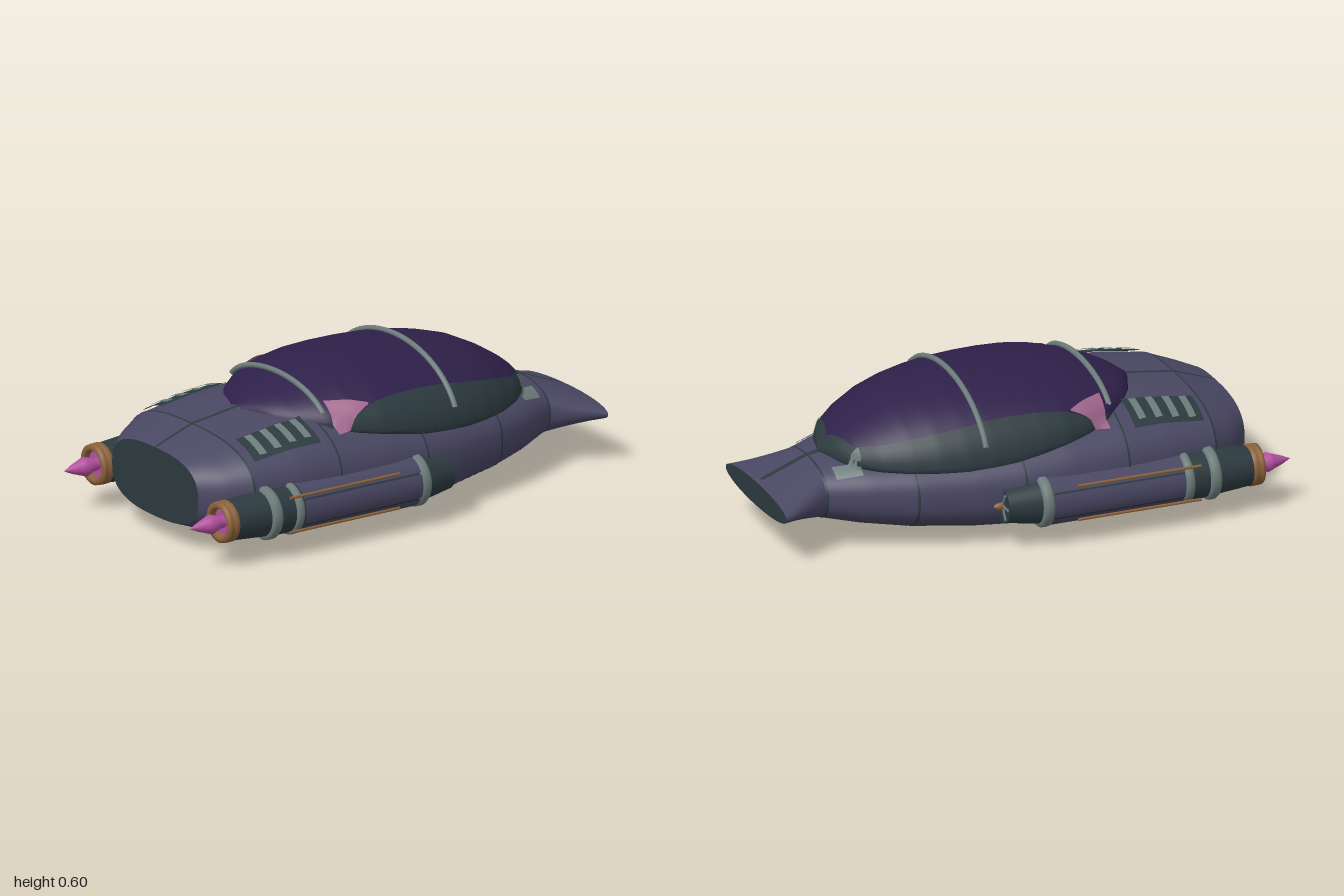
import * as THREE from 'three';

const mat = (name, color) => {
  const m = new THREE.MeshStandardMaterial({ color, side: THREE.DoubleSide });
  m.name = name;
  return m;
};

// Hull stations: z, half width, bottom, top, roundness exponent
const HULL = [
  [0.87, 0.28, 0.088, 0.36, 2.7], [0.8, 0.35, 0.065, 0.385, 2.7], [0.7, 0.41, 0.04, 0.42, 2.7],
  [0.5, 0.44, 0.015, 0.447, 2.7], [0.33, 0.45, 0.003, 0.46, 2.6], [0.1, 0.45, 0.006, 0.44, 2.6],
  [-0.08, 0.435, 0.015, 0.41, 2.6], [-0.25, 0.4, 0.025, 0.39, 2.6], [-0.48, 0.34, 0.047, 0.372, 2.5],
  [-0.65, 0.275, 0.075, 0.353, 2.5], [-0.8, 0.2, 0.107, 0.327, 2.4], [-1, 0.29, 0.155, 0.25, 2.1],
];
// Canopy stations: z, half width, base, top, angle where the glass starts
const CANOPY = [
  [0.5, 0.03, 0.44, 0.455, 0.1], [0.45, 0.16, 0.43, 0.487, 0.1], [0.4, 0.23, 0.42, 0.51, 0.1],
  [0.3, 0.32, 0.41, 0.543, 0.15], [0.2, 0.37, 0.395, 0.57, 0.35], [0.1, 0.4, 0.38, 0.585, 0.55],
  [0, 0.41, 0.362, 0.592, 0.62], [-0.1, 0.411, 0.345, 0.594, 0.65], [-0.2, 0.405, 0.337, 0.59, 0.65],
  [-0.3, 0.39, 0.33, 0.58, 0.62], [-0.4, 0.365, 0.33, 0.56, 0.6], [-0.5, 0.325, 0.33, 0.53, 0.58],
  [-0.6, 0.265, 0.333, 0.48, 0.58], [-0.67, 0.2, 0.338, 0.435, 0.65], [-0.715, 0.13, 0.342, 0.4, 1.57],
  [-0.75, 0.005, 0.345, 0.35, 1.57],
];

function station(table, z) {
  let i = 0;
  while (i < table.length - 2 && z < table[i + 1][0]) i++;
  const [a, b] = [table[i], table[i + 1]];
  const k = THREE.MathUtils.clamp((a[0] - z) / (a[0] - b[0]), 0, 1);
  return a.slice(1).map((v, j) => v + (b[j + 1] - v) * k);
}

function hullPoint(z, t, scale = 1) {
  const [w, lo, hi, n] = station(HULL, z);
  const p = (v) => Math.sign(v) * Math.abs(v) ** (2 / n) * scale;
  return [w * p(Math.cos(t)), (lo + hi) / 2 + ((hi - lo) / 2) * p(Math.sin(t)), z];
}

function canopyPoint(z, t, grow = 0) {
  const [w, base, top] = station(CANOPY, z);
  const s = Math.sin(t);
  return [(w + grow) * Math.cos(t), base + (s > 0 ? top - base + grow : 0.04) * s, z];
}

// Height of the upper skin at a plan position
function skinY(x, z) {
  const [w, lo, hi, n] = station(HULL, z);
  const hull = (lo + hi) / 2 + ((hi - lo) / 2) * Math.max(0, 1 - Math.abs(x / w) ** n) ** (1 / n);
  if (z > 0.5 || z < -0.75) return hull;
  const [cw, base, top] = station(CANOPY, z);
  return Math.abs(x) < cw ? Math.max(hull, base + (top - base) * Math.sqrt(1 - (x / cw) ** 2)) : hull;
}

// Skin over rows of points
function loft(rows, closed = false) {
  const n = rows[0].length, index = [];
  for (let i = 0; i < rows.length - 1; i++)
    for (let j = 0; j < (closed ? n : n - 1); j++) {
      const k = (j + 1) % n, a = i * n + j, b = i * n + k, c = a + n, d = b + n;
      index.push(a, c, b, b, c, d);
    }
  const g = new THREE.BufferGeometry();
  g.setAttribute('position', new THREE.Float32BufferAttribute(rows.flat(2), 3));
  g.setIndex(index);
  g.computeVertexNormals();
  return g;
}

const steps = (a, b, n) => Array.from({ length: n + 1 }, (_, i) => a + ((b - a) * i) / n);
const circle = steps(0, Math.PI * 2, 64).slice(0, 64);

export function createModel() {
  const model = new THREE.Group();
  model.name = 'shuttle';
  const hullPaint = mat('hull violet grey', 0x4a4763);
  const dark = mat('dark teal', 0x2c3a3f);
  const glass = mat('canopy purple', 0x2e2049);
  const trim = mat('trim grey', 0x6c7c7a);
  const copper = mat('copper', 0x8c6239);
  const flamePink = mat('flame magenta', 0xb450a0);
  const marker = mat('marker pink', 0xa4698f);
  const add = (name, geo, material, parent = model) => {
    const m = new THREE.Mesh(geo, material);
    m.name = name;
    parent.add(m);
    return m;
  };

  // Hull in three creased sections with flat end plates
  const ring = (z, s) => circle.map((t) => hullPoint(z, t, s));
  const skin = (a, b, n) => loft(steps(a, b, n).map((z) => ring(z)), true);
  add('nose', skin(0.87, 0.7, 8), hullPaint);
  add('body', skin(0.7, -0.8, 60), hullPaint);
  add('tail', skin(-0.8, -1, 8), hullPaint);
  const centre = (z) => circle.map(() => [0, z > 0 ? 0.224 : 0.2025, z]);
  add('nosePlate', loft([centre(0.87), ring(0.87)], true), dark);
  add('tailPlate', loft([ring(-1), centre(-1)], true), dark);

  // Panel seams around and along the hull
  for (const z of [0.7, 0.33, -0.08, -0.48, -0.795])
    add('ringSeam', loft([ring(z + 0.004, 1.005), ring(z - 0.004, 1.005)], true), dark);
  const longSeam = (t, dt, z0, z1) => add('longSeam',
    loft(steps(z0, z1, 50).map((z) => [hullPoint(z, t - dt, 1.008), hullPoint(z, t + dt, 1.008)])), dark);
  longSeam(Math.PI / 2, 0.005, 0.87, 0.4);
  longSeam(-Math.PI / 2, 0.005, 0.87, -0.8);
  for (const t of [-0.6, -Math.PI + 0.6]) longSeam(t, 0.008, 0.87, -0.8);
  longSeam(Math.PI / 2, 0.035, -0.74, -0.98);

  // Canopy: glass above a dark skirt
  const zs = steps(0.5, -0.75, 80);
  const canopy = (from, to) => loft(zs.map((z) => {
    const a = station(CANOPY, z)[3];
    return steps(from(a), to(a), 32).map((t) => canopyPoint(z, t));
  }));
  add('canopyGlass', canopy((a) => a, (a) => Math.PI - a), glass);
  add('canopySkirt', canopy((a) => -Math.PI - a, (a) => a).clone(), dark).geometry =
    canopy((a) => Math.PI - a, (a) => 2 * Math.PI + a);

  // Hoops over the canopy
  const hoop = (z, a, grow, r) => {
    const pts = steps(a, Math.PI - a, 28).map((t) => new THREE.Vector3(...canopyPoint(z, t, grow)));
    add('canopyHoop', new THREE.TubeGeometry(new THREE.CatmullRomCurve3(pts), 48, r, 8), trim);
  };
  hoop(0.31, 0.4, 0.01, 0.011);
  hoop(-0.23, 0.3, 0.006, 0.011);

  // Thin plates draped over the upper skin; corners are plan positions
  const patch = (name, [a, b, c, d], lift, material, s) => add(name, loft(steps(0, 1, 8).map((u) =>
    steps(0, 1, 8).map((v) => {
      const at = (i) => (a[i] * (1 - v) + b[i] * v) * (1 - u) + (c[i] * (1 - v) + d[i] * v) * u;
      return [s * at(0), skinY(at(0), at(1)) + lift, at(1)];
    }))), material);

  for (const s of [1, -1]) {
    patch('vent', [[0.24, 0.67], [0.365, 0.67], [0.24, 0.38], [0.385, 0.38]], 0.012, dark, s);
    for (let i = 0; i < 4; i++) {
      const z = 0.64 - i * 0.068;
      patch('ventSlat', [[0.25, z], [0.355, z], [0.25, z - 0.03], [0.36, z - 0.03]], 0.018, trim, s);
    }
    patch('sideMarker', [[0.26, 0.285], [0.37, 0.285], [0.34, 0.135], [0.345, 0.135]], 0.009, marker, s);
    patch('rearMarker', [[0.175, -0.66], [0.23, -0.66], [0.14, -0.755], [0.195, -0.755]], 0.007, trim, s);

    // Side engine, running along z
    const engine = new THREE.Group();
    engine.name = s > 0 ? 'leftEngine' : 'rightEngine';
    engine.position.set(0.41 * s, 0.175, 0);
    model.add(engine);
    const barrel = (name, rFront, rBack, z0, z1, material) => add(name,
      new THREE.CylinderGeometry(rFront, rBack, z1 - z0, 32).rotateX(Math.PI / 2).translate(0, 0, (z0 + z1) / 2),
      material, engine);
    const lathe = (name, pts, material) => add(name,
      new THREE.LatheGeometry(pts.map(([r, z]) => new THREE.Vector2(r, z)), 32).rotateX(Math.PI / 2),
      material, engine);
    const band = (z, w, r) => lathe('engineBand',
      [[0.08, z - w], [r - 0.008, z - w], [r, z - w * 0.5], [r, z + w * 0.5], [r - 0.008, z + w], [0.08, z + w]], trim);

    barrel('engineCore', 0.093, 0.093, -0.02, 0.66, dark);
    barrel('engineNeck', 0.076, 0.09, 0.66, 0.83, dark);
    barrel('engineTail', 0.092, 0.066, -0.17, -0.02, dark);
    band(0.66, 0.022, 0.104);
    band(0.555, 0.018, 0.103);
    band(-0.02, 0.022, 0.104);

    // Curved casing panels, with rails in the gaps
    for (let i = 0; i < 6; i++) {
      const a = (i * Math.PI) / 3;
      add('casingPanel', new THREE.CylinderGeometry(0.1, 0.1, 0.535, 8, 1, true, a + 0.04, Math.PI / 3 - 0.08)
        .rotateX(Math.PI / 2).translate(0, 0, 0.2675), hullPaint, engine);
    }
    for (const up of [1, -1])
      add('rail', new THREE.CylinderGeometry(0.006, 0.006, 0.5, 8).rotateX(Math.PI / 2)
        .translate(0.086 * s, 0.068 * up, 0.35), copper, engine);

    // Rear spokes and spike
    for (let i = 0; i < 6; i++)
      add('tailSpoke', new THREE.BoxGeometry(0.045, 0.008, 0.008).translate(0.035, 0, -0.172)
        .rotateZ((i * Math.PI) / 3), trim, engine);
    lathe('tailSpike', [[0, -0.21], [0.01, -0.2], [0.017, -0.185], [0.012, -0.165]], copper);

    // Nozzle and flame
    lathe('nozzle', [[0.07, 0.815], [0.08, 0.825], [0.08, 0.842], [0.073, 0.848], [0.08, 0.855],
      [0.078, 0.868], [0.062, 0.873], [0.054, 0.865], [0.054, 0.83]], copper);
    add('nozzleGlow', new THREE.CircleGeometry(0.056, 32).translate(0, 0, 0.845), flamePink, engine);
    lathe('flame', [[0.022, 0.845], [0.025, 0.87], [0.038, 0.905], [0.03, 0.925], [0.018, 0.96], [0, 1]], flamePink);
  }
  return model;
}
